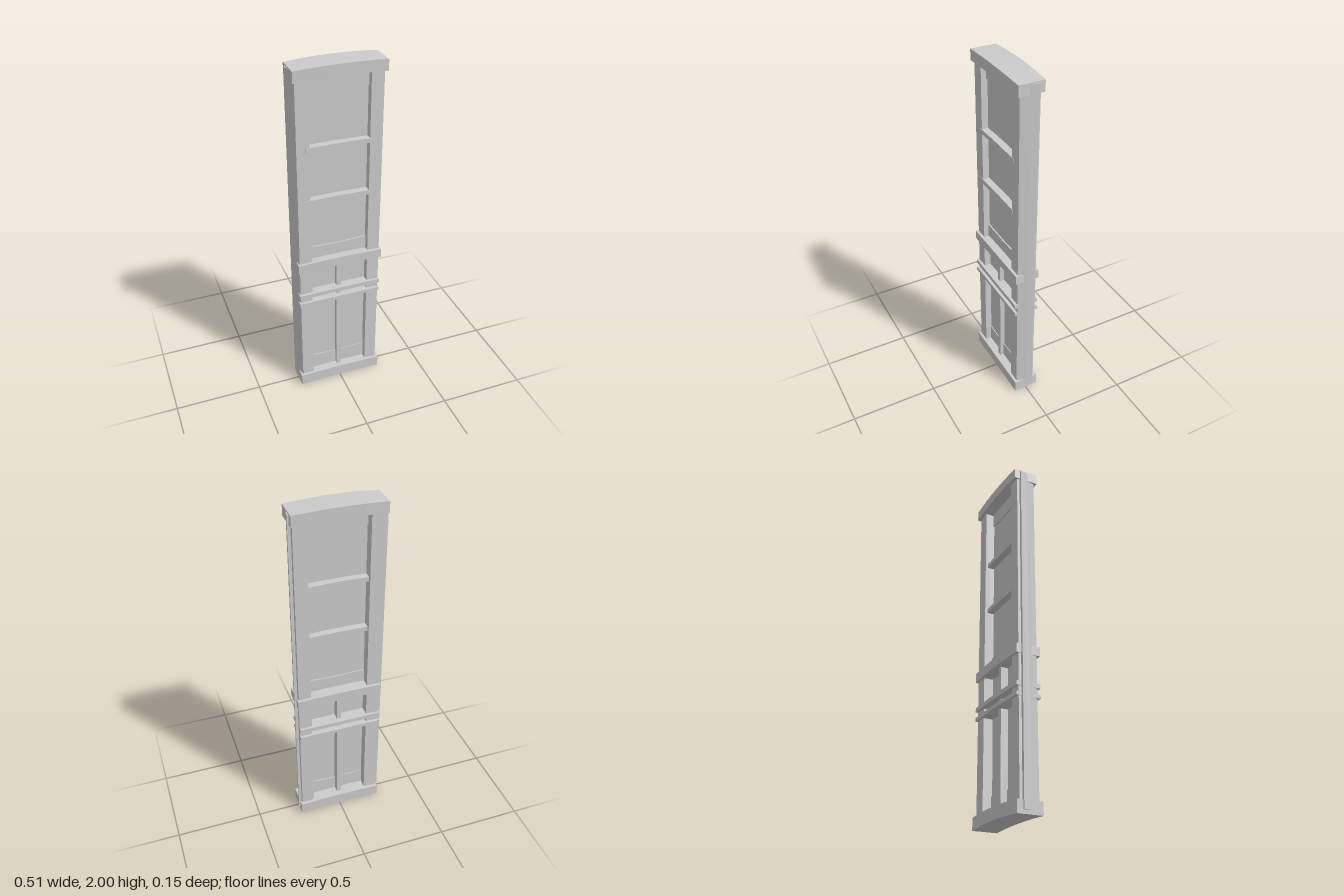
import * as THREE from 'three';

const material = new THREE.MeshStandardMaterial({ color: 0xcccccc, flatShading: true });

export function createModel() {
  const door = new THREE.Group();
  door.name = 'panelDoor';

  const add = (name, geometry) => {
    const mesh = new THREE.Mesh(geometry, material);
    mesh.name = name;
    door.add(mesh);
    return mesh;
  };

  // Bar given by its extents; "arch" lifts its middle, "bulge" thickens it there
  const bar = (name, [x0, x1], [y0, y1], [z0, z1], arch = 0, bulge = 0) => {
    const w = x1 - x0;
    const g = new THREE.BoxGeometry(w, y1 - y0, z1 - z0, arch || bulge ? 8 : 1, 1, 1);
    const p = g.attributes.position;
    for (let i = 0; i < p.count; i++) {
      const k = 1 - (2 * p.getX(i) / w) ** 2;
      p.setY(i, p.getY(i) + arch * k);
      p.setZ(i, p.getZ(i) + Math.sign(p.getZ(i)) * bulge * k);
    }
    g.translate((x0 + x1) / 2, (y0 + y1) / 2, (z0 + z1) / 2);
    g.computeVertexNormals();
    return add(name, g);
  };

  // Stiles: sloping outer edge with a rebate along the back
  for (const side of [-1, 1]) {
    const profile = [[0.165, 0.055], [0.235, 0.055], [0.25, 0], [0.257, -0.04],
      [0.24, -0.04], [0.238, -0.055], [0.165, -0.055]];
    // shape lies in x/-z, extruded upward
    const shape = new THREE.Shape(profile.map(([x, z]) => new THREE.Vector2(side * x, -z)));
    const g = new THREE.ExtrudeGeometry(shape, { depth: 1.96, bevelEnabled: false });
    g.rotateX(-Math.PI / 2).translate(0, 0.022, 0);
    add(side > 0 ? 'leftStile' : 'rightStile', g);
  }

  // Heavy arched rails
  const full = [-0.248, 0.248];
  bar('topRail', full, [1.93, 1.99], [-0.073, 0.07], 0.01, 0.004);
  bar('middleRail', [-0.245, 0.245], [0.828, 0.88], [-0.07, 0.07], 0.006, 0.003);
  bar('bottomRail', full, [0, 0.068], [-0.073, 0.07], 0.01, 0.004);

  // Thin belt strips across both faces
  bar('upperBelt', [-0.243, 0.238], [0.648, 0.672], [-0.07, 0.07], 0.003, 0.003);
  bar('lowerBelt', [-0.243, 0.238], [0.594, 0.615], [-0.07, 0.07], 0.003, 0.003);

  // Recessed panels
  bar('upperPanel', [-0.17, 0.17], [0.86, 1.95], [0, 0.018]);
  bar('lowerPanel', [-0.17, 0.17], [0.05, 0.85], [0, 0.018]);

  // Slightly raised curved borders at the panel ends
  const inner = [-0.168, 0.168];
  bar('topBorder', inner, [1.855, 1.95], [-0.007, 0.026], -0.008);
  bar('middleBorder', inner, [0.87, 0.962], [-0.007, 0.026], -0.006);
  bar('bottomBorder', inner, [0.06, 0.172], [-0.005, 0.023], -0.006);

  // Slender crossbars of the upper panel
  bar('upperCrossbar', [-0.185, 0.178], [1.55, 1.575], [-0.04, 0.058], 0.004);
  bar('lowerCrossbar', [-0.205, 0.18], [1.245, 1.27], [-0.04, 0.058], 0.004);

  // Central upright of the lower panel
  bar('centreUpright', [-0.015, 0.01], [0.05, 0.85], [-0.042, 0.045]);

  return door;
}
